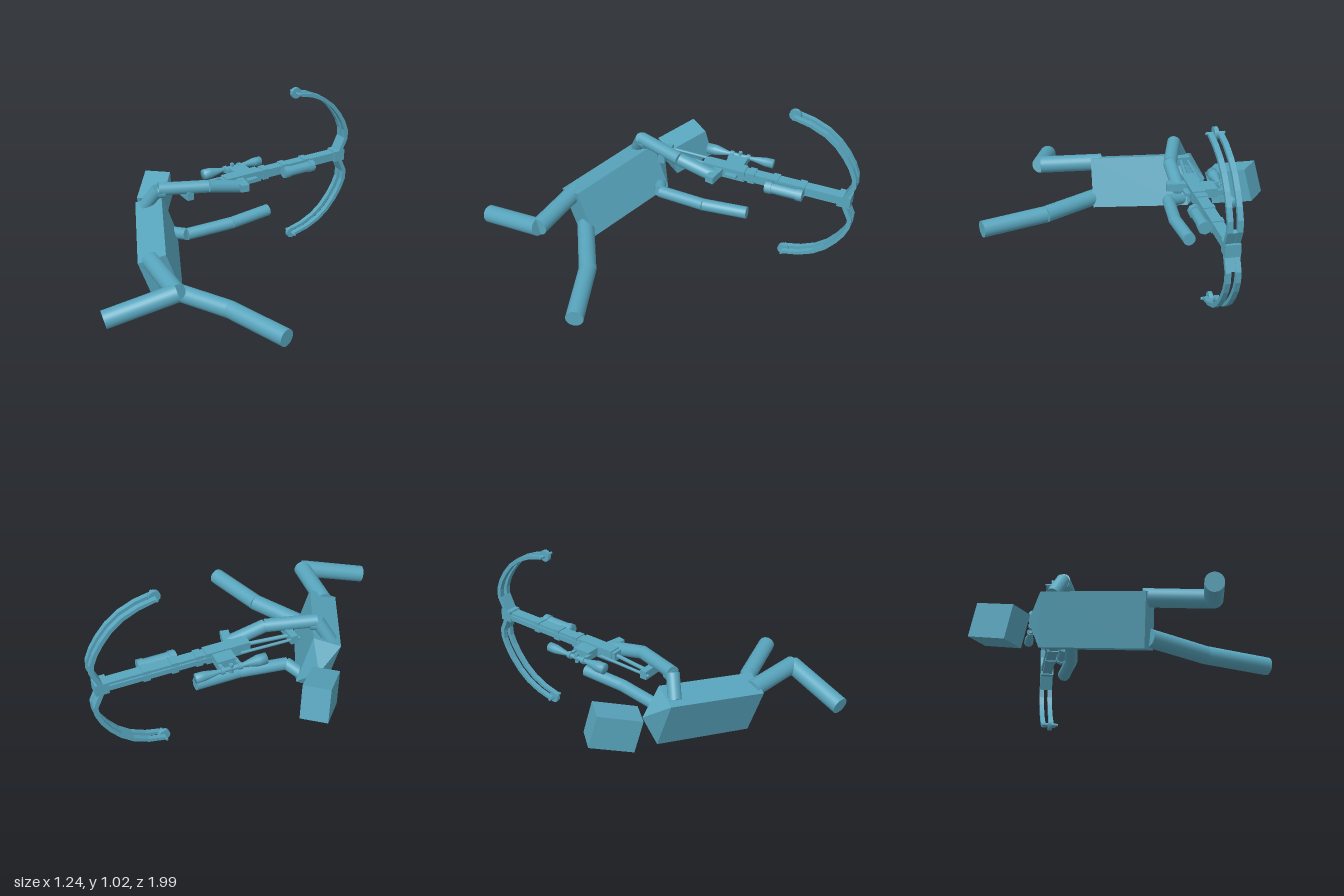
import * as THREE from 'three';

const teal = new THREE.MeshStandardMaterial({ color: 0x58a5bd });
teal.name = 'teal';
const V = (x, y, z) => new THREE.Vector3(x, y, z);

function add(parent, name, geometry, x = 0, y = 0, z = 0) {
  const mesh = new THREE.Mesh(geometry, teal);
  mesh.name = name;
  mesh.position.set(x, y, z);
  parent.add(mesh);
  return mesh;
}

// cylinder running from point a to point b
function rod(parent, name, a, b, r, r2 = r, sides = 28) {
  const p = V(...a), q = V(...b);
  const mesh = add(parent, name, new THREE.CylinderGeometry(r2, r, p.distanceTo(q), sides));
  mesh.position.copy(p).add(q).multiplyScalar(0.5);
  mesh.quaternion.setFromUnitVectors(V(0, 1, 0), q.sub(p).normalize());
  return mesh;
}

// chain of straight limb segments
function chain(parent, names, points, r) {
  names.forEach((n, i) => rod(parent, n, points[i], points[i + 1], r));
}

// block between two corners in bow space
function block(parent, name, [x0, x1], [y0, y1], [z0, z1]) {
  return add(parent, name, new THREE.BoxGeometry(x1 - x0, y1 - y0, z1 - z0),
    (x0 + x1) / 2, (y0 + y1) / 2, (z0 + z1) / 2);
}

// group oriented by its local x and y axes
function frame(parent, name, centre, xAxis, yAxis) {
  const x = xAxis.clone().normalize();
  const z = x.clone().cross(yAxis).normalize();
  const y = z.clone().cross(x);
  const g = new THREE.Group();
  g.name = name;
  g.quaternion.setFromRotationMatrix(new THREE.Matrix4().makeBasis(x, y, z));
  g.position.copy(centre);
  parent.add(g);
  return g;
}

function buildBody(root) {
  // torso with a pyramid at the shoulders
  const torso = frame(root, 'torso', V(-0.298, 0.283, 0.185), V(0.145, 0.05, -0.055), V(-0.25, 0.073, -0.53));
  add(torso, 'chest', new THREE.BoxGeometry(0.163, 0.59, 0.3));
  const cone = new THREE.ConeGeometry(Math.SQRT1_2, 1, 4).rotateY(Math.PI / 4).scale(0.163, 0.097, 0.3).toNonIndexed();
  cone.computeVertexNormals();
  add(torso, 'neck', cone, 0, 0.295 + 0.0485, 0);

  const head = frame(root, 'headPivot', V(-0.52, 0.33, -0.331), V(0.155, 0, -0.025), V(0.01, 0.19, 0.052));
  add(head, 'head', new THREE.BoxGeometry(0.157, 0.197, 0.258));

  const arm = ['shoulder', 'upperArm', 'forearm'];
  chain(root, arm.map((n) => n + 'Right'),
    [[-0.45, 0.44, 0.005], [-0.365, 0.56, 0], [-0.11, 0.548, -0.15], [0.045, 0.495, -0.315]], 0.038);
  rod(root, 'elbowRight', [-0.37, 0.54, 0], [-0.33, 0.54, -0.02], 0.037);
  chain(root, arm.map((n) => n + 'Left'),
    [[-0.33, 0.23, -0.1], [-0.215, 0.252, -0.07], [0, 0.265, -0.265], [0.167, 0.278, -0.475]], 0.036);

  const leg = ['thigh', 'shin'];
  chain(root, leg.map((n) => n + 'Right'),
    [[-0.24, 0.357, 0.455], [0.015, 0.357, 0.73], [-0.305, 0.265, 0.953]], 0.051);
  chain(root, leg.map((n) => n + 'Left'),
    [[-0.15, 0.167, 0.42], [0.235, 0.167, 0.51], [0.597, 0.167, 0.678]], 0.05);
}

// bow space: +x runs forward, -z is the sight side, y spans the limbs
function buildBow(root) {
  const bow = new THREE.Group();
  bow.name = 'crossbow';
  bow.position.set(0.27, 0.51, -0.68);
  bow.rotation.y = 0.85;
  root.add(bow);

  // stock, rail and housing
  block(bow, 'rail', [-0.52, 0.36], [-0.027, 0.027], [-0.03, 0.03]);
  block(bow, 'arrowTrack', [-0.3, 0.34], [-0.012, 0.012], [-0.04, -0.028]);
  block(bow, 'triggerHousing', [-0.5, -0.26], [-0.034, 0.034], [-0.036, 0.036]);
  block(bow, 'riser', [0.29, 0.365], [-0.034, 0.034], [-0.04, 0.04]);
  for (const x of [-0.22, -0.08, 0.08]) block(bow, 'railBand', [x - 0.02, x + 0.02], [-0.033, 0.033], [-0.034, 0.034]);

  // skeleton stock with butt plate
  rod(bow, 'stockTopBar', [-0.8, 0, -0.07], [-0.45, 0, -0.06], 0.009, 0.009, 8);
  rod(bow, 'stockLowerBar', [-0.77, 0, -0.03], [-0.5, 0, 0], 0.012, 0.012, 8);
  block(bow, 'buttPlate', [-0.785, -0.745], [-0.025, 0.025], [-0.08, 0.065]);

  // grips
  const grip = block(bow, 'pistolGrip', [-0.45, -0.4], [-0.022, 0.022], [0.03, 0.14]);
  grip.rotation.y = -0.2;
  block(bow, 'triggerGuard', [-0.37, -0.3], [-0.008, 0.008], [0.034, 0.065]);
  rod(bow, 'foregrip', [-0.12, 0, 0.068], [0.1, 0, 0.068], 0.032, 0.032, 8);
  for (const x of [-0.115, 0.065]) rod(bow, 'foregripCollar', [x, 0, 0.068], [x + 0.035, 0, 0.068], 0.037, 0.037, 8);

  // telescopic sight with mount
  const profile = [[0, 0], [0.032, 0], [0.032, 0.05], [0.014, 0.13], [0.013, 0.28], [0.027, 0.36], [0.028, 0.41], [0, 0.41]];
  const tube = new THREE.LatheGeometry(profile.map(([r, h]) => new THREE.Vector2(r, h)), 16);
  add(bow, 'scope', tube, -0.555, 0, -0.157).rotation.z = -Math.PI / 2;
  block(bow, 'scopeMount', [-0.4, -0.29], [-0.026, 0.026], [-0.115, -0.03]);
  for (const x of [-0.4, -0.3]) {
    rod(bow, 'scopeRing', [x - 0.01, 0, -0.157], [x + 0.01, 0, -0.157], 0.021, 0.021, 12);
    block(bow, 'scopeFoot', [x - 0.01, x + 0.01], [-0.014, 0.014], [-0.15, -0.1]);
  }
  rod(bow, 'scopeDial', [-0.35, -0.028, -0.157], [-0.35, 0.028, -0.157], 0.012, 0.012, 12);

  // split limbs, mirrored above and below
  const outer = [[0.345, 0.025], [0.385, 0.11], [0.382, 0.17], [0.356, 0.235], [0.315, 0.3], [0.26, 0.365], [0.19, 0.42], [0.1, 0.46], [0, 0.482]];
  const inner = [[0.32, 0.03], [0.36, 0.115], [0.357, 0.168], [0.334, 0.225], [0.296, 0.286], [0.245, 0.348], [0.18, 0.4], [0.095, 0.44], [0, 0.464]];
  for (const side of [1, -1]) {
    const edge = [...outer, ...inner.reverse()].map(([x, y]) => new THREE.Vector2(x, side * y));
    inner.reverse();
    const limbShape = new THREE.Shape(edge);
    for (const z of [-0.04, 0.012]) {
      add(bow, 'limb', new THREE.ExtrudeGeometry(limbShape, { depth: 0.028, bevelEnabled: false }), 0, 0, z);
    }
    // pocket joining the limb pair at its root
    const pocket = block(bow, 'limbPocket', [0.34, 0.362], [0.025, 0.115], [-0.04, 0.04]);
    pocket.position.y *= side;
    pocket.rotation.z = -0.44 * side;
    // wheel and axle at the tip
    rod(bow, 'wheel', [0, side * 0.475, -0.011], [0, side * 0.475, 0.011], 0.034, 0.034, 12);
    rod(bow, 'axle', [0, side * 0.475, -0.05], [0, side * 0.475, 0.05], 0.008, 0.008, 8);
  }
}

export function createModel() {
  const root = new THREE.Group();
  root.name = 'archer';
  buildBody(root);
  buildBow(root);
  return root;
}
